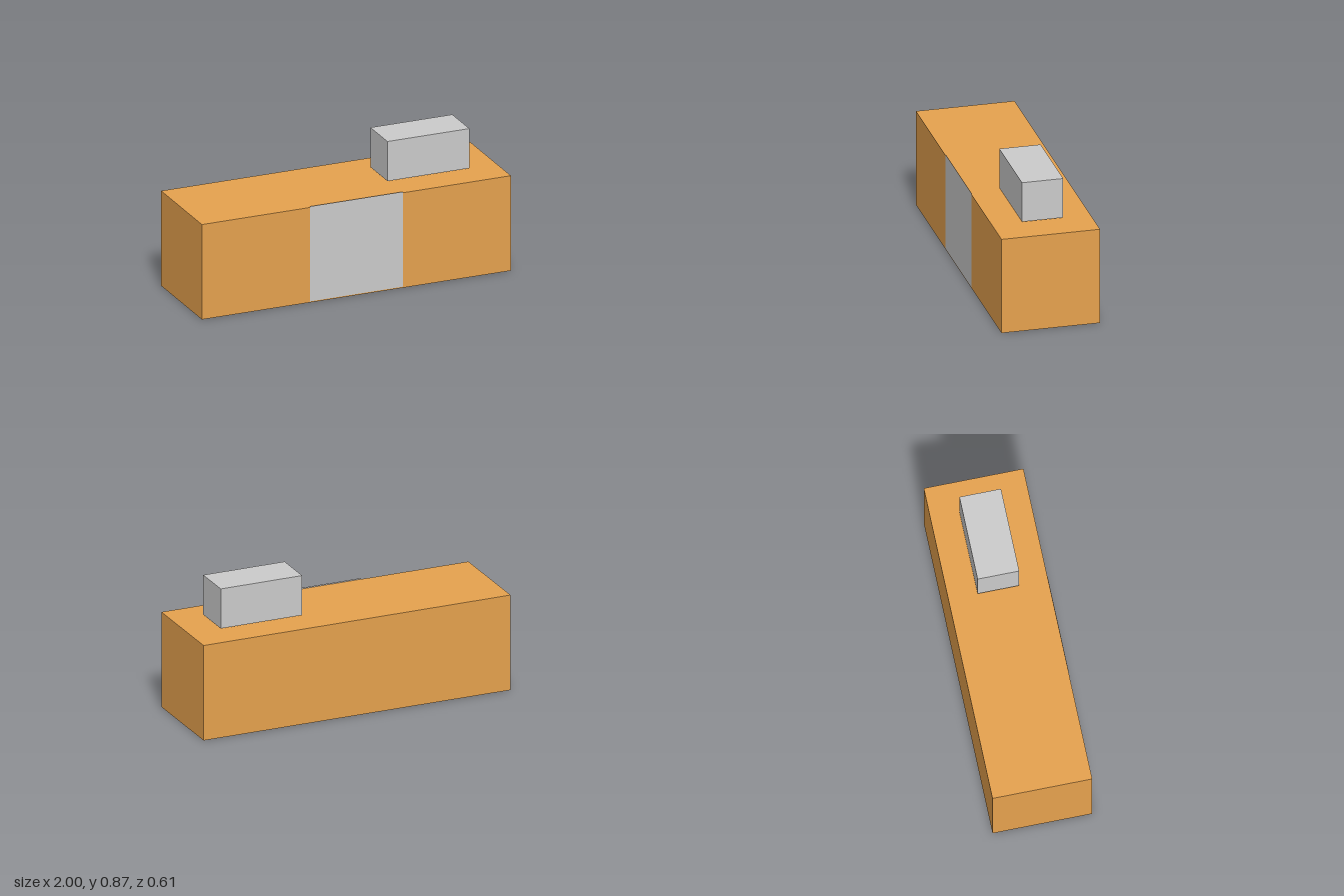
import * as THREE from 'three';

export function createModel() {
  const group = new THREE.Group();
  const wood = new THREE.MeshStandardMaterial({ color: 0xe6a24e });
  const grey = new THREE.MeshStandardMaterial({ color: 0xcccccc });
  const greySheet = new THREE.MeshStandardMaterial({ color: 0xcccccc, side: THREE.DoubleSide });

  const add = (name, geometry, material, x, y, z) => {
    const mesh = new THREE.Mesh(geometry, material);
    mesh.name = name;
    mesh.position.set(x, y, z);
    group.add(mesh);
  };

  // Long counter body
  add('counterBody', new THREE.BoxGeometry(2, 0.604, 0.604), wood, 0, 0.302, 0);

  // Thin sheet on the front, standing slightly proud of the top edge
  add('frontPanel', new THREE.PlaneGeometry(0.604, 0.604), greySheet, 0, 0.309, 0.303);

  // Small box hovering just above the counter
  add('counterTopBox', new THREE.BoxGeometry(0.53, 0.252, 0.252), grey, 0.543, 0.745, 0);

  return group;
}
